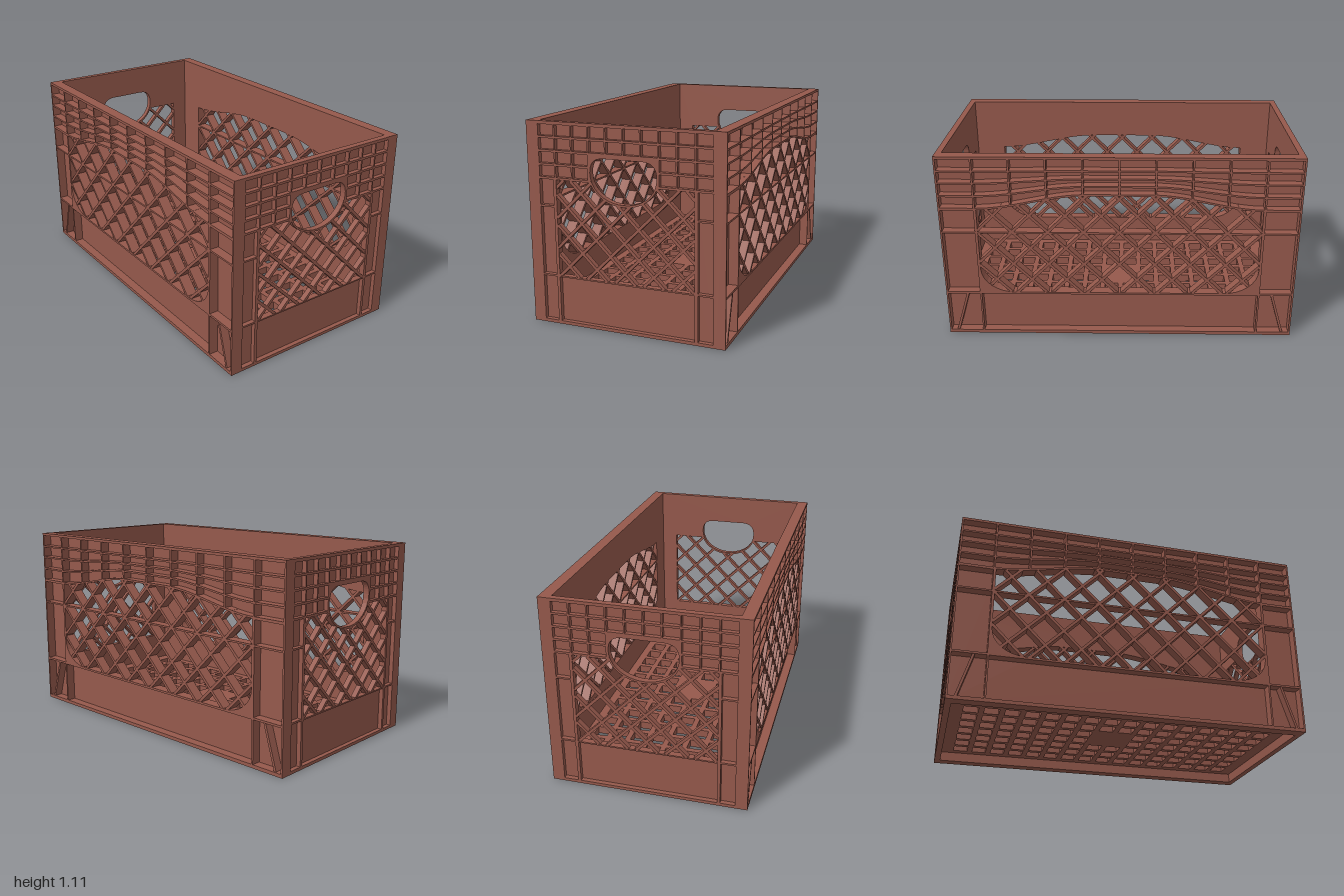
import * as THREE from 'three';

const plastic = new THREE.MeshStandardMaterial({ color: 0x95594c });
plastic.name = 'brown plastic';

const V = (x, y) => new THREE.Vector2(x, y);
const rect = (x0, y0, x1, y1) => [V(x0, y0), V(x1, y0), V(x1, y1), V(x0, y1)];
const mirrorX = (pts) => pts.map((p) => V(-p.x, p.y)).reverse();
const TOP = 1.105;

// Flat plate with holes, extruded along local z from z0 to z1
function plate(name, outline, holes, z0, z1) {
  const shape = new THREE.Shape(outline);
  holes.forEach((h) => shape.holes.push(new THREE.Path(h)));
  const geo = new THREE.ExtrudeGeometry(shape, { depth: z1 - z0, bevelEnabled: false });
  geo.translate(0, 0, z0);
  const mesh = new THREE.Mesh(geo, plastic);
  mesh.name = name;
  return mesh;
}

// Straight bar between two points of a wall
function bar(name, a, b, width, z0, z1) {
  const mesh = new THREE.Mesh(new THREE.BoxGeometry(a.distanceTo(b), width, z1 - z0), plastic);
  mesh.position.set((a.x + b.x) / 2, (a.y + b.y) / 2, (z0 + z1) / 2);
  mesh.rotation.z = Math.atan2(b.y - a.y, b.x - a.x);
  mesh.name = name;
  return mesh;
}

// Diagonal bars through the node (0, ny), kept only where inside(x, y) holds
function lattice(inside, ny, pitch, width, z0, z1) {
  const group = new THREE.Group();
  group.name = 'lattice';
  const step = 0.004;
  for (const dir of [1, -1]) {
    for (let k = -12; k <= 12; k++) {
      let start = null, last = null;
      for (let y = 0.2; y < 1; y += step) {
        const p = V(k * pitch + dir * (y - ny), y);
        if (inside(p.x, p.y)) {
          start = start || p;
          last = p;
        } else if (start) {
          if (start.distanceTo(last) > 0.02) group.add(bar('latticeBar', start, last, width, z0, z1));
          start = null;
        }
      }
    }
  }
  return group;
}

// Curved row lines of the long wall: ends of the wall blend to its middle
const endRows = [0.8, 0.875, 0.95, 1.02, 1.095];
const midRows = [0.886, 0.935, 0.978, 1.025, 1.095];
function rowY(j, x) {
  const t = THREE.MathUtils.smoothstep(0.8 - Math.abs(x), 0, 0.62);
  return endRows[j] + (midRows[j] - endRows[j]) * t;
}

function longWall() {
  const wall = new THREE.Group();
  wall.name = 'longWall';

  // Window with rounded lower corners and an arched top
  const win = [];
  for (let i = 0; i <= 8; i++) {
    const a = (i / 8) * Math.PI / 2;
    win.push(V(0.6 + 0.19 * Math.sin(a), 0.425 - 0.148 * Math.cos(a)));
  }
  for (let i = 0; i <= 10; i++) {
    const x = 0.79 * (1 - i / 10);
    win.push(V(x, rowY(0, x) - 0.006));
  }
  const windowPts = [...win, ...mirrorX(win).slice(1)];

  // Pockets of the upper band
  const cells = [];
  for (let c = 0; c < 10; c++) {
    const x0 = Math.max(-1 + c * 0.2 + 0.005, -0.99);
    const x1 = Math.min(-0.8 + c * 0.2 - 0.005, 0.99);
    for (let j = 0; j < 4; j++) {
      const low = [], high = [];
      for (let i = 0; i <= 4; i++) {
        const x = x0 + (x1 - x0) * i / 4;
        low.push(V(x, rowY(j, x) + 0.005));
        high.unshift(V(x, rowY(j + 1, x) - 0.005));
      }
      cells.push([...low, ...high]);
    }
  }
  // Pockets of the posts and the lower panel
  for (const [y0, y1] of [[0.02, 0.265], [0.277, 0.65], [0.66, 0.79]]) {
    const post = rect(0.805, y0, 0.99, y1);
    cells.push(post, mirrorX(post));
  }
  cells.push(rect(-0.795, 0.02, 0.795, 0.265));

  wall.add(plate('wallSkin', rect(-1, 0, 1, TOP), [windowPts], 0.485, 0.497));
  wall.add(plate('wallRibs', rect(-1, 0, 1, TOP), [windowPts, ...cells], 0.497, 0.55));

  const inside = (x, y) => {
    if (Math.abs(x) > 0.795 || y < 0.272 || y > rowY(0, x)) return false;
    const dx = Math.max(0, Math.abs(x) - 0.6) / 0.195;
    const dy = Math.max(0, 0.425 - y) / 0.153;
    return dx * dx + dy * dy <= 1;
  };
  wall.add(lattice(inside, 0.66, 0.2, 0.016, 0.487, 0.548));
  wall.add(bar('crossBar', V(-0.793, 0.655), V(0.793, 0.655), 0.01, 0.487, 0.548));
  // Slanted braces in the lower corners
  for (const s of [-1, 1]) {
    wall.add(bar('cornerBrace', V(s * 0.95, 0.02), V(s * 0.875, 0.268), 0.014, 0.495, 0.545));
  }
  return wall;
}

// Grip outline, scaled about its middle
function gripPath(sx, sy) {
  const q = (x, y) => [x * sx, 0.815 + (y - 0.815) * sy];
  const s = new THREE.Shape();
  s.moveTo(...q(0, 0.698));
  s.bezierCurveTo(...q(0.1, 0.698), ...q(0.185, 0.76), ...q(0.185, 0.85));
  s.bezierCurveTo(...q(0.185, 0.9), ...q(0.165, 0.928), ...q(0.11, 0.93));
  s.lineTo(...q(-0.11, 0.93));
  s.bezierCurveTo(...q(-0.165, 0.928), ...q(-0.185, 0.9), ...q(-0.185, 0.85));
  s.bezierCurveTo(...q(-0.185, 0.76), ...q(-0.1, 0.698), ...q(0, 0.698));
  return s.getPoints(10).slice(0, -1);
}

function endWall() {
  const wall = new THREE.Group();
  wall.name = 'endWall';
  const grip = gripPath(1, 1);

  // Window joined with the upper part of the grip opening
  const opening = [V(-0.385, 0.276), V(0.385, 0.276), V(0.385, 0.8), V(0.18, 0.8),
    ...grip.filter((p) => p.y > 0.81), V(-0.18, 0.8), V(-0.385, 0.8)];

  // Pockets of the upper band, leaving room around the grip
  const cells = [];
  for (let c = 0; c < 10; c++) {
    for (let j = 0; j < 4; j++) {
      if (j < 2 && c > 2 && c < 7) continue;
      const x = -0.485 + c * 0.097, y = 0.812 + j * 0.072;
      cells.push(rect(x + 0.004, y, x + 0.093, y + 0.06));
    }
  }
  for (const [y0, y1] of [[0.018, 0.268], [0.278, 0.65], [0.66, 0.8]]) {
    const post = rect(0.402, y0, 0.483, y1);
    cells.push(post, mirrorX(post));
  }
  cells.push(rect(-0.385, 0.018, 0.385, 0.268));

  const outline = rect(-0.485, 0, 0.485, TOP);
  wall.add(plate('wallSkin', outline, [opening], 0.965, 0.975));
  wall.add(plate('wallRibs', outline, [opening, ...cells], 0.975, 1));
  wall.add(plate('gripRing', gripPath(1.06, 1.1), [grip], 0.966, 0.999));

  const ring = gripPath(1.03, 1.05);
  const inRing = (x, y) => {
    let hit = false;
    ring.forEach((a, i) => {
      const b = ring[(i + 1) % ring.length];
      if ((a.y > y) !== (b.y > y) && x < a.x + (b.x - a.x) * (y - a.y) / (b.y - a.y)) hit = !hit;
    });
    return hit;
  };
  const inside = (x, y) => Math.abs(x) < 0.388 && y > 0.272 && y < 0.802 && !inRing(x, y);
  wall.add(lattice(inside, 0.333, 0.162, 0.016, 0.967, 0.998));
  return wall;
}

// Raised floor grid with a solid middle
function floorGrid() {
  const holes = [], p = 0.1133, h = 0.041;
  for (let i = 0; i < 16; i++) {
    for (let j = 0; j < 8; j++) {
      if ((i === 7 || i === 8) && (j === 3 || j === 4)) continue;
      const x = (i - 7.5) * p, y = (j - 3.5) * p;
      holes.push(rect(x - h, y - h, x + h, y + h));
    }
  }
  const floor = plate('floorGrid', rect(-0.965, -0.485, 0.965, 0.485), holes, 0.055, 0.1);
  floor.rotation.x = -Math.PI / 2;
  return floor;
}

export function createModel() {
  const crate = new THREE.Group();
  crate.name = 'crate';
  for (let i = 0; i < 4; i++) {
    const wall = i % 2 ? endWall() : longWall();
    wall.rotation.y = i * Math.PI / 2;
    crate.add(wall);
  }
  crate.add(floorGrid());
  return crate;
}
